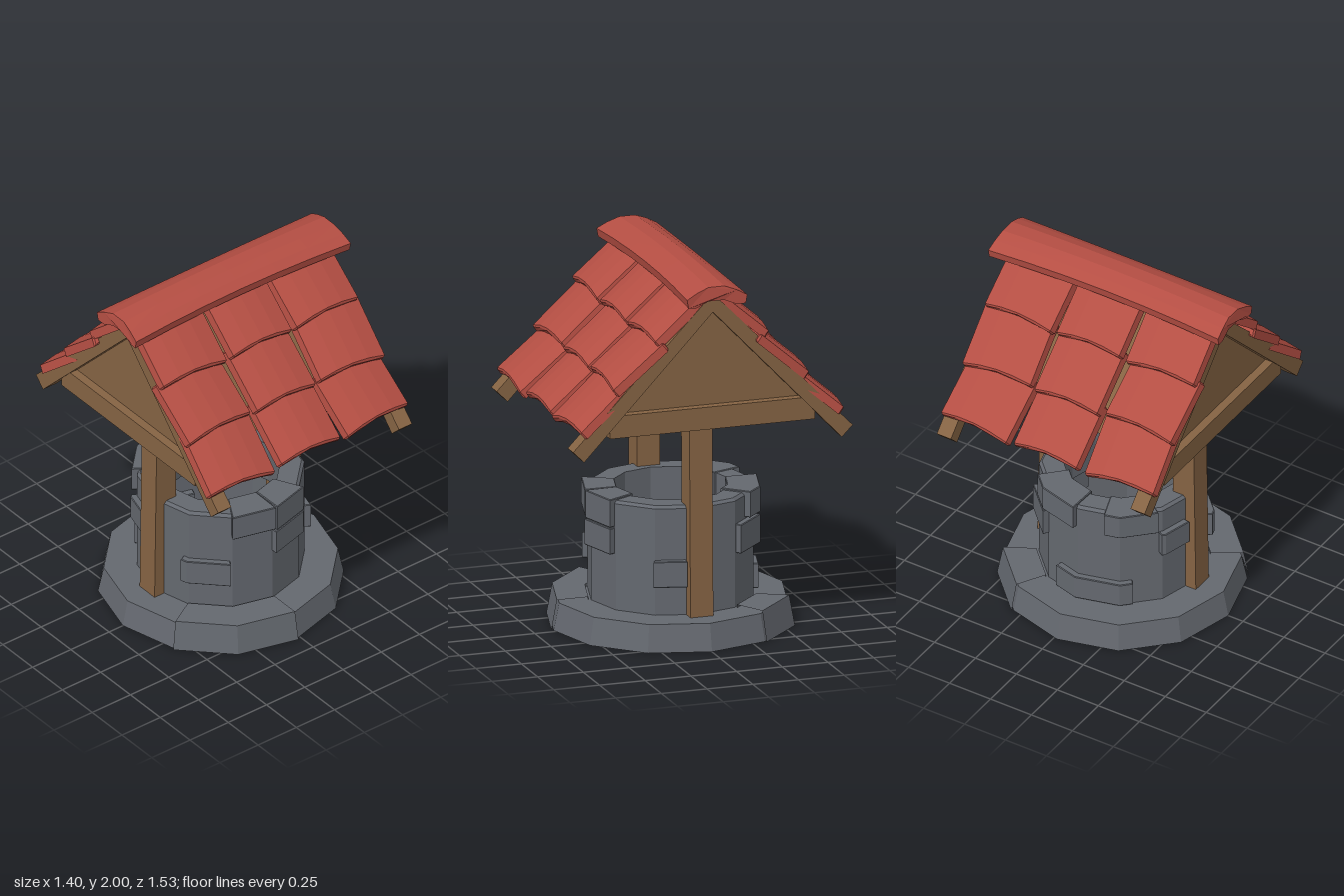
import * as THREE from 'three';

const mat = (name, color, side = THREE.FrontSide) => {
  const m = new THREE.MeshStandardMaterial({ color, flatShading: true, side });
  m.name = name;
  return m;
};

// Small seeded generator in the range -1..1 for hand-laid irregularity
let seed = 7;
const jitter = () => {
  seed = (seed * 16807) % 2147483647;
  return (seed / 2147483647) * 2 - 1;
};

const polygon = (pts) => new THREE.Shape(pts.map(([x, y]) => new THREE.Vector2(x, y)));

// Move every vertex by a rule
function reshape(geo, rule) {
  const p = geo.attributes.position, v = new THREE.Vector3();
  for (let i = 0; i < p.count; i++) {
    v.fromBufferAttribute(p, i);
    rule(v);
    p.setXYZ(i, v.x, v.y, v.z);
  }
  geo.computeVertexNormals();
  return geo;
}

// Stone block following the twelve-sided ring from angle a0 to a1 (degrees, 0 = front)
function arcBlock(a0, a1, y0, y1, rIn, rOut) {
  const bevel = 0.004;
  const angles = [a0];
  for (let a = Math.floor(a0 / 30) * 30 + 30; a < a1; a += 30) angles.push(a);
  angles.push(a1);
  const at = (a, r) => {
    const local = (((a % 30) + 30) % 30) - 15;
    const chord = r * Math.cos(Math.PI / 12) / Math.cos(THREE.MathUtils.degToRad(local));
    const t = THREE.MathUtils.degToRad(a);
    return [Math.sin(t) * chord, -Math.cos(t) * chord];
  };
  const outline = [...angles.map((a) => at(a, rOut - bevel)), ...angles.reverse().map((a) => at(a, rIn))];
  const geo = new THREE.ExtrudeGeometry(polygon(outline), {
    depth: y1 - y0 - 2 * bevel, bevelEnabled: true, bevelSize: bevel, bevelThickness: bevel, bevelSegments: 1,
  });
  return geo.rotateX(-Math.PI / 2).translate(0, y0 + bevel, 0);
}

// Twelve-sided ring, or the part of it from angle a0 to a1
function ring(pts, a0 = 0, a1 = 360) {
  const rad = THREE.MathUtils.degToRad;
  return new THREE.LatheGeometry(pts.map(([x, y]) => new THREE.Vector2(x, y)), (a1 - a0) / 30, rad(a0), rad(a1 - a0));
}

export function createModel() {
  seed = 7;
  const model = new THREE.Group();
  const stone = mat('stone grey', 0x64686f, THREE.DoubleSide);
  const wood = mat('wood brown', 0x856343);
  const red = mat('tile red', 0xb44e43);
  const add = (parent, name, geo, material) => {
    const m = new THREE.Mesh(geo, material);
    m.name = name;
    parent.add(m);
    return m;
  };

  // Stonework: hollow base ring with raised kerb stones, and the well wall with its inner lip
  const well = new THREE.Group();
  well.name = 'stonework';
  well.position.x = -0.02;
  model.add(well);
  add(well, 'baseRing', ring([[0.64, 0], [0.61, 0.145], [0.43, 0.145]]), stone);
  for (const [a0, a1] of [[-60, 0], [120, 150]]) {
    add(well, 'kerbStone', ring([[0.652, 0], [0.622, 0.162], [0.45, 0.162], [0.45, 0.145]], a0, a1), stone);
  }
  add(well, 'wellWall', ring([[0.435, 0.14], [0.435, 0.715], [0.42, 0.73], [0.31, 0.73], [0.31, 0.5]]), stone);

  // Wall stones standing proud of the wall: start angle, end angle, bottom, top
  const stones = [
    [-30, -1, 0.6, 0.74], [1, 28, 0.59, 0.74], [136, 178, 0.6, 0.74], [200, 235, 0.6, 0.735],
    [0, 28, 0.445, 0.585], [122, 150, 0.435, 0.59], [238, 260, 0.45, 0.585],
    [-64, -32, 0.3, 0.44], [60, 81, 0.3, 0.44], [163, 218, 0.16, 0.295],
  ];
  for (const [a0, a1, y0, y1] of stones) {
    add(well, 'wallStone', arcBlock(a0, a1, y0, y1, y0 > 0.58 ? 0.3 : 0.4, 0.47), stone);
  }

  // Posts, slightly splayed towards the bottom
  for (const [name, top, bottom] of [['leftPost', 0.382, 0.395], ['rightPost', -0.422, -0.432]]) {
    const geo = reshape(new THREE.BoxGeometry(0.125, 1.24, 0.125).translate(0, 0.72, 0), (v) => {
      const low = v.y < 0.5;
      v.x = v.x * (low ? 1.12 : 1) + (low ? bottom : top);
    });
    add(model, name, geo, wood);
  }

  // Roof timber; outlines are drawn in (z, y) and extruded along x
  const alongX = (pts, x0, x1) => {
    const geo = new THREE.ExtrudeGeometry(polygon(pts), { depth: x1 - x0, bevelEnabled: false });
    return geo.rotateY(Math.PI / 2).translate(x0, 0, 0);
  };
  add(model, 'roofBody', alongX([[-0.5, 1.32], [0.5, 1.32], [0, 1.87]], -0.58, 0.58), wood);
  const rafterPair = [
    [0, 1.93], [-0.765, 1.15], [-0.705, 1.09], [0, 1.83], [0.705, 1.09], [0.765, 1.15],
  ];
  const crossBeam = [[-0.56, 1.2], [0.56, 1.2], [0.56, 1.25], [0.49, 1.32], [-0.49, 1.32], [-0.56, 1.25]];
  for (const x of [-0.59, 0.592]) {
    add(model, 'rafters', alongX(rafterPair, x - 0.043, x + 0.043), wood);
    add(model, 'crossBeam', alongX(crossBeam, x - 0.036, x + 0.036), wood);
  }

  // Arched roof tile: lower edge at z = 0, running up the slope towards -z
  const tileGeometry = (w, len) => {
    const us = [-1, -0.5, 0, 0.5, 1], b = 0.009;
    const arch = (u) => 0.022 * (1 - u * u);
    const half = w / 2 - b;
    const low = us.map((u) => [u * half, arch(u) + b]);
    const high = [...us].reverse().map((u) => [u * (half - 0.006), arch(u) + 0.048 - b]);
    const geo = new THREE.ExtrudeGeometry(polygon([...low, ...high]), {
      depth: len - 2 * b, bevelEnabled: true, bevelSize: b, bevelThickness: b, bevelSegments: 1,
    });
    geo.translate(0, -0.006, b - len);
    // Keep the lower edge straight when seen from above
    return reshape(geo, (v) => { v.z -= 0.8 * arch(Math.min(1, Math.abs(v.x) / half)); });
  };
  const columns = [[-0.434, 0.42], [0, 0.395], [0.425, 0.42]];
  // Rows: z and y of the lower edge, length, outward shift and outward turn of the outer tiles
  const rows = [
    [0.71, 1.207, 0.36, 0.014, 0.06], [0.51, 1.43, 0.36, 0.002, -0.05], [0.3, 1.66, 0.37, 0.004, 0.03],
  ];
  for (const side of [0, 1]) {
    const slope = new THREE.Group();
    slope.name = side ? 'backTiles' : 'frontTiles';
    slope.rotation.y = side * Math.PI;
    slope.position.z = side * 0.01;
    model.add(slope);
    for (const [z, y, len, shift, turn] of rows) {
      for (const [x, w] of columns) {
        const tile = add(slope, 'roofTile', tileGeometry(w, len), red);
        const out = Math.sign(x);
        tile.position.set((x + out * shift) * (side ? -1 : 1), y + 0.004 * jitter(), z + 0.005 * jitter());
        tile.rotation.set(0.71, out * turn * (side ? -1 : 1) + 0.008 * jitter(), 0.015 * jitter());
      }
    }
  }

  // Ridge cap, sagging and flaring a little towards its ends
  const capOutline = [
    [-0.142, 1.9], [-0.1, 1.897], [-0.04, 1.925], [0.04, 1.925], [0.1, 1.897], [0.142, 1.9],
    [0.15, 1.945], [0.1, 1.975], [0.04, 2.0], [-0.04, 2.0], [-0.1, 1.975], [-0.15, 1.945],
  ];
  const cap = new THREE.ExtrudeGeometry(polygon(capOutline), { depth: 1.37, steps: 6, bevelEnabled: false });
  cap.rotateY(Math.PI / 2).translate(-0.685, 0, 0);
  add(model, 'ridgeCap', reshape(cap, (v) => {
    const k = (v.x / 0.685) ** 2;
    v.x *= 1 + 0.16 * Math.abs(v.z);
    v.y -= 0.018 * k;
    v.z *= 1 + 0.1 * k;
  }), red);

  return model;
}
